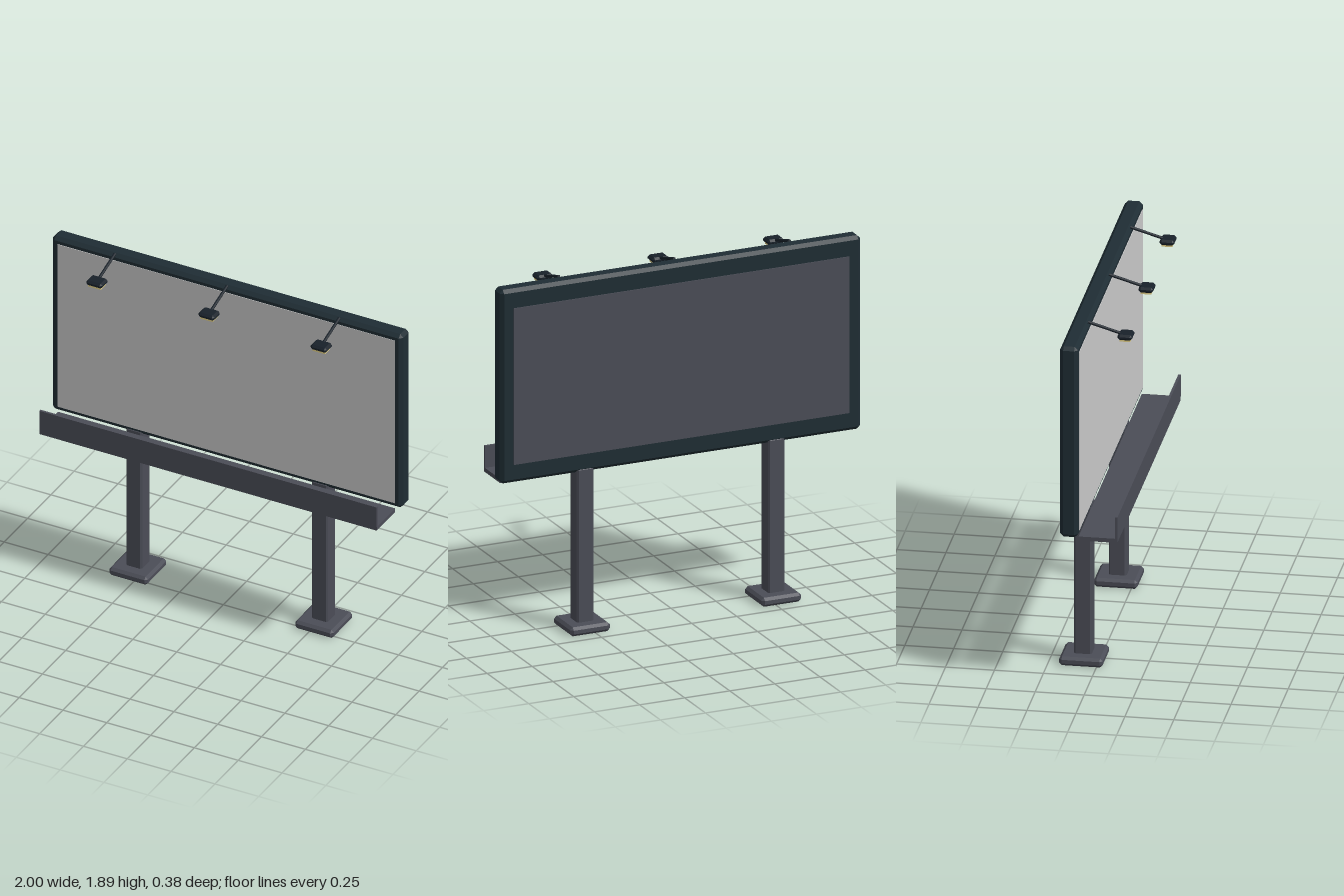
import * as THREE from 'three';
import { ConvexGeometry } from 'three/addons/geometries/ConvexGeometry.js';

const material = (name, color) => {
  const m = new THREE.MeshStandardMaterial({ color });
  m.name = name;
  return m;
};

// Box with every edge cut by a flat chamfer c
function chamferBox(w, h, d, c) {
  const points = [];
  for (const sx of [-1, 1]) for (const sy of [-1, 1]) for (const sz of [-1, 1]) {
    for (const [a, b, e] of [[0, c, c], [c, 0, c], [c, c, 0]]) {
      points.push(new THREE.Vector3(sx * (w / 2 - a), sy * (h / 2 - b), sz * (d / 2 - e)));
    }
  }
  return new ConvexGeometry(points);
}

export function createModel() {
  const steel = material('grey steel', 0x4b4d57);
  const frameDark = material('dark frame', 0x1f2d34);
  const lampDark = material('lamp black', 0x18212a);
  const posterGrey = material('poster grey', 0xcacaca);
  const lensCream = material('lens cream', 0xf0dc90);

  const model = new THREE.Group();
  model.name = 'billboard';

  const add = (parent, name, geometry, mat, x, y, z) => {
    const mesh = new THREE.Mesh(geometry, mat);
    mesh.name = name;
    mesh.position.set(x, y, z);
    parent.add(mesh);
    return mesh;
  };
  const boardZ = -0.079;

  // Board: chamfered frame with a poster in front and a sheet behind
  add(model, 'frame', chamferBox(2, 1.035, 0.092, 0.018), frameDark, 0, 1.366, boardZ);
  add(model, 'poster', new THREE.BoxGeometry(1.926, 0.97, 0.008), posterGrey, 0, 1.363, -0.034);
  add(model, 'backSheet', new THREE.BoxGeometry(1.86, 0.836, 0.009), steel, 0, 1.365, -0.1265);

  // Two posts on foot plates
  for (const side of [-1, 1]) {
    const leg = new THREE.Group();
    leg.name = side > 0 ? 'leftLeg' : 'rightLeg';
    leg.position.set(side * 0.53, 0, boardZ);
    model.add(leg);
    add(leg, 'post', chamferBox(0.092, 0.85, 0.092, 0.009), steel, 0, 0.445, 0);
    add(leg, 'footPlate', chamferBox(0.22, 0.048, 0.222, 0.014), steel, 0, 0.024, 0);
  }

  // Service walkway with a raised front lip
  const walkway = new THREE.Group();
  walkway.name = 'walkway';
  model.add(walkway);
  add(walkway, 'walkwayFloor', new THREE.BoxGeometry(1.924, 0.022, 0.198), steel, 0, 0.834, 0.064);
  add(walkway, 'walkwayLip', new THREE.BoxGeometry(1.924, 0.117, 0.013), steel, 0, 0.9035, 0.1575);

  // Three lamps on sloping arms
  const armStart = new THREE.Vector3(0, 1.882, -0.04);
  const armEnd = new THREE.Vector3(0, 1.83, 0.135);
  const armVector = armEnd.clone().sub(armStart);
  const armMiddle = armStart.clone().add(armEnd).multiplyScalar(0.5);
  const armGeometry = new THREE.CylinderGeometry(0.008, 0.008, armVector.length(), 8);
  const headGeometry = chamferBox(0.092, 0.03, 0.075, 0.011);
  const lensGeometry = new THREE.BoxGeometry(0.072, 0.009, 0.056);
  for (const x of [-0.64, 0, 0.64]) {
    const lamp = new THREE.Group();
    lamp.name = 'lamp';
    lamp.position.x = x;
    model.add(lamp);
    const arm = add(lamp, 'lampArm', armGeometry, lampDark, 0, armMiddle.y, armMiddle.z);
    arm.quaternion.setFromUnitVectors(new THREE.Vector3(0, 1, 0), armVector.clone().normalize());
    add(lamp, 'lampHead', headGeometry, lampDark, 0, 1.824, 0.153);
    add(lamp, 'lampLens', lensGeometry, lensCream, 0, 1.806, 0.153);
  }

  return model;
}
